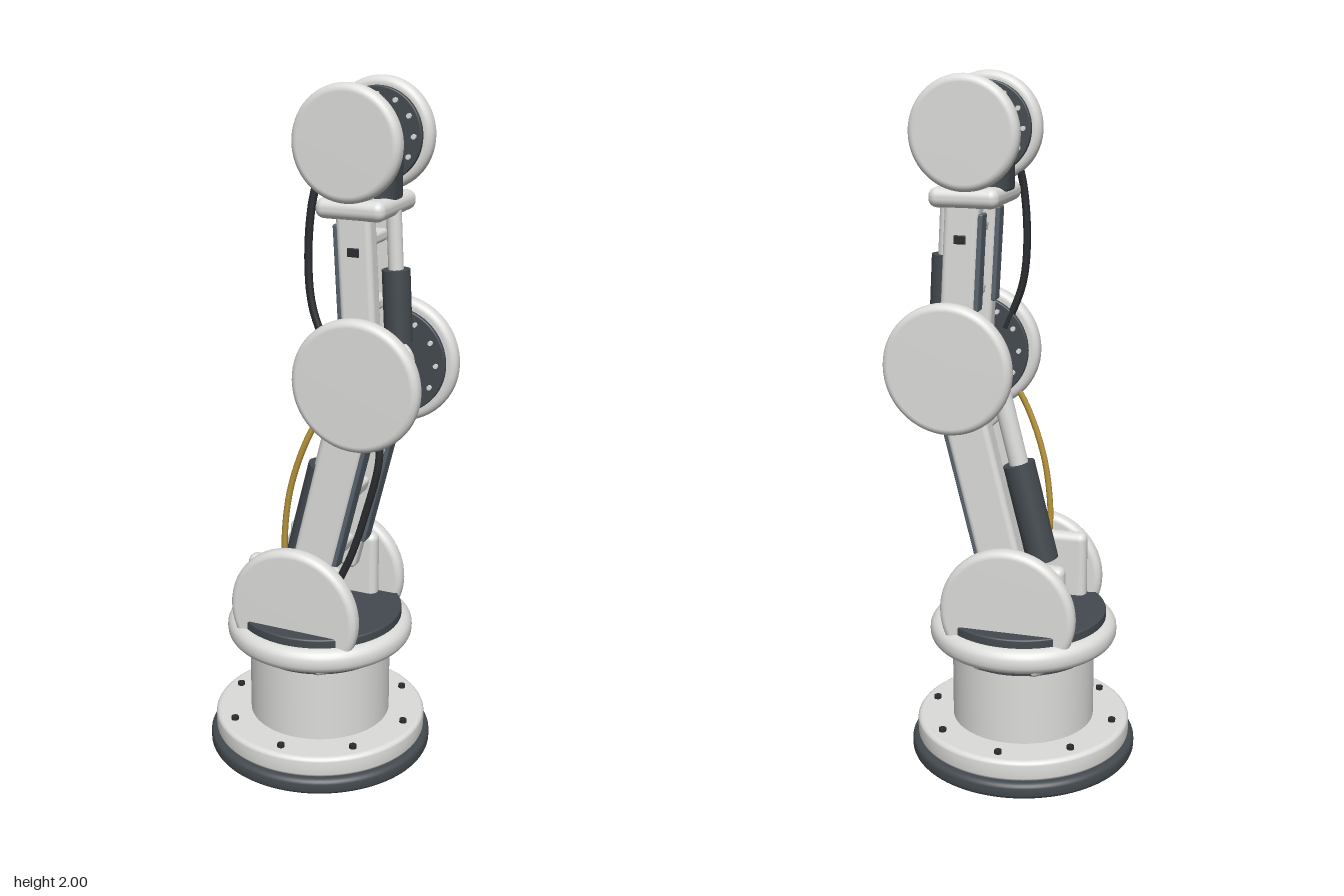
import * as THREE from 'three';
import { RoundedBoxGeometry } from 'three/addons/geometries/RoundedBoxGeometry.js';

const mat = (name, color) => {
  const m = new THREE.MeshStandardMaterial({ color });
  m.name = name;
  return m;
};

export function createModel() {
  const light = mat('light grey shell', 0xdcdcda);
  const dark = mat('dark grey', 0x434a4f);
  const slate = mat('slate panel', 0x5a656f);
  const black = mat('black rubber', 0x2a2d30);
  const gold = mat('gold cable', 0xb8963c);

  const model = new THREE.Group();
  model.name = 'robotArm';
  // Arm frame: +z is the reach direction, x is across the arm
  const arm = new THREE.Group();
  arm.name = 'turnedArm';
  arm.rotation.y = 0.75;
  arm.position.set(-0.018, 0, -0.022);
  model.add(arm);

  const add = (name, geo, material, x = 0, y = 0, z = 0, parent = arm) => {
    const m = new THREE.Mesh(geo, material);
    m.name = name;
    m.position.set(x, y, z);
    parent.add(m);
    return m;
  };

  // Solid disc about y with rounded rims
  const roundDisc = (r, h, e, seg = 64) => {
    const p = [new THREE.Vector2(0, -h / 2)];
    for (let i = 0; i <= 12; i++) {
      const a = -Math.PI / 2 + (i / 12) * Math.PI;
      p.push(new THREE.Vector2(r - e + e * Math.cos(a), Math.sign(i - 6) * (h / 2 - e) + e * Math.sin(a)));
    }
    p.push(new THREE.Vector2(0, h / 2));
    return new THREE.LatheGeometry(p, seg);
  };
  const box = (w, h, d, r = 0.012) => new RoundedBoxGeometry(w, h, d, 4, r);

  // Stretch a mesh built along y between two points [y, z] at constant x
  const between = (name, make, material, x, a, b) => {
    const dy = b[0] - a[0], dz = b[1] - a[1];
    const m = add(name, make(Math.hypot(dy, dz)), material, x, (a[0] + b[0]) / 2, (a[1] + b[1]) / 2);
    m.rotation.x = Math.atan2(dz, dy);
    return m;
  };
  const rod = (r) => (len) => new THREE.CylinderGeometry(r, r, len, 32);
  const across = (name, r, w, material, y, z) => {
    const m = add(name, roundDisc(r, w, 0.008, 32), material, 0, y, z);
    m.rotation.z = Math.PI / 2;
  };

  // Base and turntable
  add('baseFoot', roundDisc(0.337, 0.05, 0.018, 96), dark, 0, 0.025);
  add('baseFlange', roundDisc(0.32, 0.064, 0.016, 96), light, 0, 0.08);
  for (let i = 0; i < 8; i++) {
    const a = (i / 8) * Math.PI * 2;
    add('flangeBolt', new THREE.CylinderGeometry(0.011, 0.011, 0.014, 12), black,
      0.275 * Math.sin(a), 0.115, 0.275 * Math.cos(a));
  }
  add('basePillar', new THREE.CylinderGeometry(0.212, 0.212, 0.26, 96), light, 0, 0.235);
  add('neckSeal', new THREE.CylinderGeometry(0.215, 0.215, 0.024, 96), dark, 0, 0.342);
  add('turntableRing', roundDisc(0.278, 0.075, 0.034, 96), light, 0, 0.393);
  add('turntableDeck', roundDisc(0.246, 0.04, 0.006, 96), dark, 0, 0.436);

  // Joints: a pair of covers with dark inner plates, hubs and bolts
  const joints = [
    { name: 'shoulder', y: 0.5, z: 0, x: 0.176, r: 0.2, inner: false },
    { name: 'elbow', y: 1.205, z: 0.178, x: 0.154, r: 0.187, inner: true },
    { name: 'wrist', y: 1.845, z: 0.134, x: 0.119, r: 0.155, inner: true },
  ];
  for (const j of joints) for (const s of [-1, 1]) {
    const g = new THREE.Group();
    g.name = j.name + (s > 0 ? 'LeftJoint' : 'RightJoint');
    g.position.set(s * j.x, j.y, j.z);
    g.rotation.z = -s * Math.PI / 2;
    arm.add(g);
    add('cover', roundDisc(j.r, 0.05, 0.021), light, 0, 0, 0, g);
    if (!j.inner) continue;
    add('innerPlate', roundDisc(j.r * 0.84, 0.02, 0.004), dark, 0, -0.027, 0, g);
    add('hub', roundDisc(j.r * 0.36, 0.03, 0.006, 32), light, 0, -0.036, 0, g);
    add('hubCap', roundDisc(j.r * 0.22, 0.012, 0.003, 32), dark, 0, -0.05, 0, g);
    for (let i = 0; i < 12; i++) {
      const a = (i / 12) * Math.PI * 2;
      add('plateBolt', new THREE.CylinderGeometry(0.007, 0.007, 0.014, 10), light,
        j.r * 0.7 * Math.cos(a), -0.039, j.r * 0.7 * Math.sin(a), g);
    }
  }

  // Points [y, z] along the arm
  const lower = [[0.56, 0.015], [1.2, 0.172]];
  const upper = [[1.2, 0.172], [1.8, 0.137]];
  for (const s of [-1, 1]) {
    // Shoulder cheeks
    add('shoulderCheek', box(0.05, 0.24, 0.29, 0.022), light, s * 0.14, 0.53, -0.015);
    // Lower links with slate front strips
    between('lowerRail', (l) => box(0.066, l, 0.125, 0.016), light, s * 0.108, ...lower);
    between('lowerRailPanel', (l) => box(0.052, l, 0.016, 0.005), slate, s * 0.108, [0.64, 0.1], [1.03, 0.196]);
    // Upper links with slate rear strips and side slots
    between('upperRail', (l) => box(0.058, l, 0.1, 0.016), light, s * 0.085, ...upper);
    between('upperRailPanel', (l) => box(0.046, l, 0.016, 0.005), slate, s * 0.085, [1.36, 0.111], [1.63, 0.095]);
    add('railSlot', box(0.008, 0.025, 0.035, 0.003), black, s * 0.112, 1.56, 0.151);
    // Wrist yoke lugs
    add('wristLug', box(0.04, 0.19, 0.1, 0.016), light, s * 0.095, 1.75, 0.134);
  }

  // Cross bars between the rails
  for (const [y, z] of [[0.65, 0.037], [0.84, 0.084], [1.02, 0.128]])
    add('lowerCrossBar', box(0.17, 0.045, 0.08, 0.014), light, 0, y, z).rotation.x = 0.24;
  for (const [y, z] of [[1.4, 0.16], [1.58, 0.15]])
    add('upperCrossBar', box(0.13, 0.035, 0.06, 0.012), light, 0, y, z).rotation.x = -0.06;
  across('elbowAxle', 0.06, 0.27, light, 1.205, 0.178);
  across('elbowAxleSleeve', 0.066, 0.14, light, 1.205, 0.178);

  // Rear lower actuator
  between('lowerActuatorBody', rod(0.047), dark, 0, [0.61, -0.058], [0.9, 0.015]);
  between('lowerActuatorRod', rod(0.028), light, 0, [0.88, 0.01], [1.14, 0.075]);
  // Front upper actuator
  between('upperActuatorBody', rod(0.039), dark, 0, [1.3, 0.24], [1.5, 0.229]);
  between('upperActuatorRod', rod(0.021), light, 0, [1.48, 0.23], [1.66, 0.22]);

  // Wrist plate and motor block
  add('wristPlate', box(0.26, 0.055, 0.2, 0.025), light, 0, 1.672, 0.14);
  const w = 0.076, d = 0.1, c = 0.06;
  const shape = new THREE.Shape();
  shape.absarc(w - c, d - c, c, 0, Math.PI / 2);
  shape.absarc(c - w, d - c, c, Math.PI / 2, Math.PI);
  shape.absarc(c - w, c - d, c, Math.PI, Math.PI * 1.5);
  shape.absarc(w - c, c - d, c, Math.PI * 1.5, Math.PI * 2);
  const motor = add('wristMotor', new THREE.ExtrudeGeometry(shape, {
    depth: 0.135, bevelEnabled: true, bevelSize: 0.006, bevelOffset: -0.006, bevelThickness: 0.006, curveSegments: 12,
  }), dark, 0, 1.69, 0.134);
  motor.rotation.x = -Math.PI / 2;

  // Cables
  const cable = (name, r, material, pts) => add(name, new THREE.TubeGeometry(
    new THREE.CatmullRomCurve3(pts.map((p) => new THREE.Vector3(...p))), 40, r, 10), material);
  cable('goldCable', 0.009, gold,
    [[-0.13, 1.14, 0.09], [-0.148, 1.04, 0.035], [-0.152, 0.88, -0.02], [-0.15, 0.72, -0.042], [-0.145, 0.6, -0.04]]);
  cable('lowerCable', 0.011, black,
    [[-0.14, 1.12, 0.24], [-0.152, 1.0, 0.248], [-0.152, 0.84, 0.21], [-0.15, 0.7, 0.165], [-0.145, 0.58, 0.11]]);
  cable('upperCable', 0.011, black,
    [[-0.105, 1.8, 0.06], [-0.122, 1.68, 0.035], [-0.126, 1.52, 0.026], [-0.128, 1.4, 0.04], [-0.125, 1.27, 0.09]]);

  return model;
}
